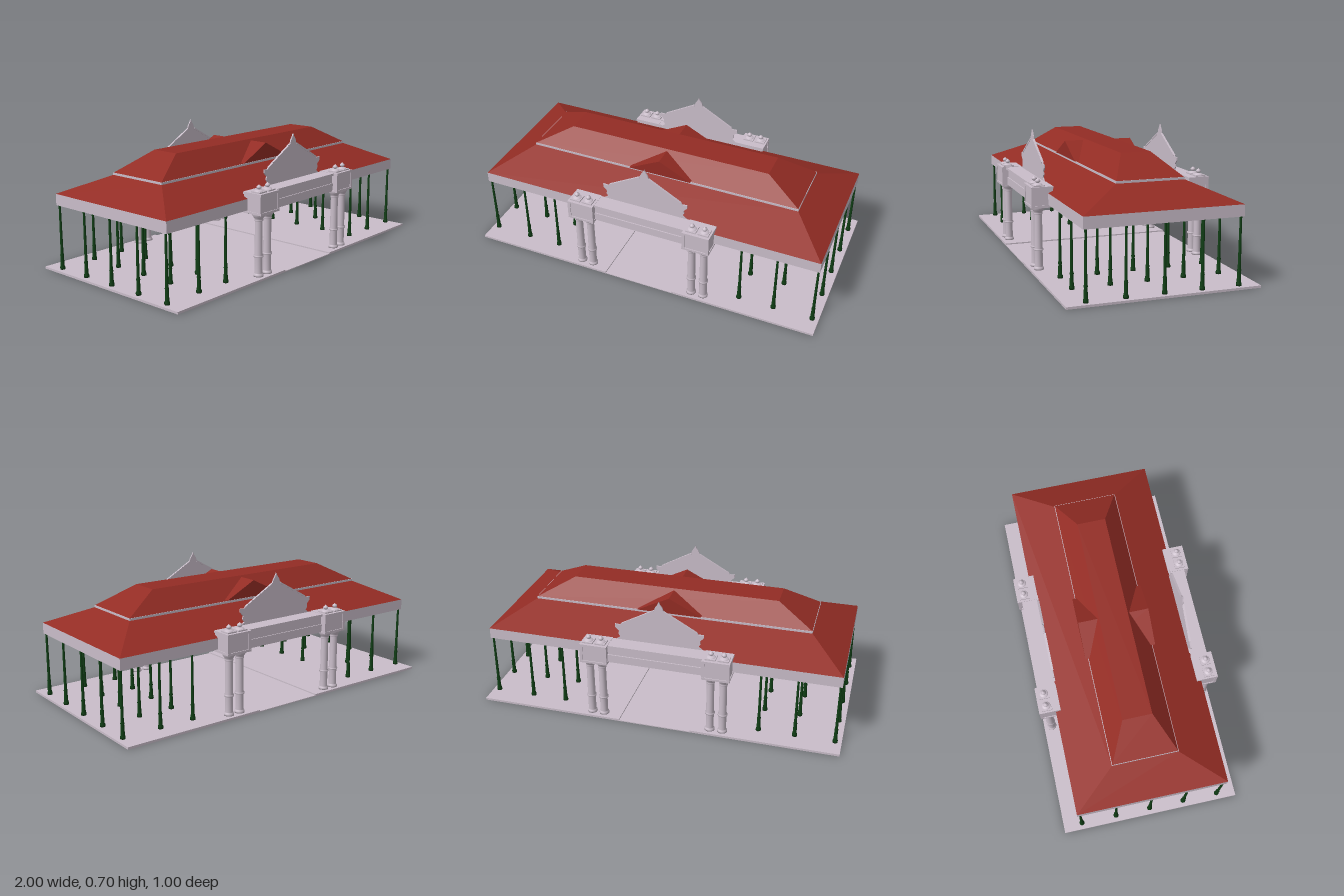
import * as THREE from 'three';

const paint = (color) => new THREE.MeshStandardMaterial({ color, roughness: 0.9 });

export function createModel() {
  const model = new THREE.Group();
  const stone = paint(0xc9bdc9), tile = paint(0x932c24), iron = paint(0x0f3d14);

  const add = (parent, name, geometry, material, x = 0, y = 0, z = 0) => {
    const mesh = new THREE.Mesh(geometry, material);
    mesh.name = name;
    mesh.position.set(x, y, z);
    parent.add(mesh);
    return mesh;
  };
  // Box given by its limits on each axis
  const block = (parent, name, material, x0, x1, y0, y1, z0, z1) =>
    add(parent, name, new THREE.BoxGeometry(x1 - x0, y1 - y0, z1 - z0), material,
      (x0 + x1) / 2, (y0 + y1) / 2, (z0 + z1) / 2);
  // Hipped roof: a box whose top is drawn in
  const hip = (name, y0, y1, bx, bz, tx, tz) => {
    const g = new THREE.BoxGeometry(2, y1 - y0, 2);
    const p = g.attributes.position;
    for (let i = 0; i < p.count; i++) {
      const top = p.getY(i) > 0;
      p.setX(i, p.getX(i) * (top ? tx : bx));
      p.setZ(i, p.getZ(i) * (top ? tz : bz));
    }
    g.computeVertexNormals();
    add(model, name, g, tile, 0, (y0 + y1) / 2, 0);
  };
  const lathe = (points, sides) =>
    new THREE.LatheGeometry(points.map(([r, y]) => new THREE.Vector2(r, y)), sides);

  // Floor slabs with a lower passage through the middle
  block(model, 'passageFloor', stone, -0.2, 0.2, 0, 0.005, -0.5, 0.5);
  for (const s of [-1, 1]) block(model, 'floorSlab', stone, s * 0.6 - 0.4, s * 0.6 + 0.4, 0, 0.012, -0.5, 0.5);

  // Two-tier roof
  block(model, 'eavesFascia', stone, -0.975, 0.975, 0.36, 0.42, -0.41, 0.41);
  hip('lowerRoof', 0.42, 0.522, 0.975, 0.41, 0.78, 0.18);
  block(model, 'upperFascia', stone, -0.78, 0.78, 0.52, 0.534, -0.18, 0.18);
  hip('upperRoof', 0.534, 0.638, 0.778, 0.177, 0.58, 0.08);

  // Dormer prism running front to back
  const gable = new THREE.Shape([[-0.18, 0.54], [0.18, 0.54], [0, 0.63]].map(([x, y]) => new THREE.Vector2(x, y)));
  add(model, 'dormer', new THREE.ExtrudeGeometry(gable, { depth: 0.39, bevelEnabled: false }), tile, 0, 0, -0.195);

  // Iron posts
  const postShape = lathe([[0, 0.012], [0.014, 0.012], [0.014, 0.024], [0.011, 0.03], [0.009, 0.085],
    [0.011, 0.09], [0.008, 0.1], [0.006, 0.34], [0.007, 0.362]], 10);
  for (const x of [-0.965, -0.75, -0.555, 0.555, 0.75, 0.965])
    for (const z of [-0.395, -0.197, 0, 0.197, 0.395]) add(model, 'ironPost', postShape, iron, x, 0, z);

  // Portal shapes
  const columnShape = lathe([[0, 0.012], [0.027, 0.012], [0.027, 0.02], [0.023, 0.027], [0.021, 0.03],
    [0.021, 0.114], [0.026, 0.116], [0.026, 0.124], [0.021, 0.126], [0.02, 0.305], [0.023, 0.308],
    [0.023, 0.314], [0.021, 0.317], [0.027, 0.327], [0.034, 0.338], [0.034, 0.347]], 20);
  const finialShape = lathe([[0.024, 0.462], [0.021, 0.467], [0.008, 0.47], [0.006, 0.473], [0.012, 0.476],
    [0.014, 0.482], [0.011, 0.488], [0.005, 0.492], [0, 0.498]], 16);
  const half = [[0.24, 0.45], [0.215, 0.468], [0.226, 0.485], [0.222, 0.502], [0.243, 0.524], [0.243, 0.542],
    [0.215, 0.54], [0.205, 0.552], [0.025, 0.652], [0.02, 0.668], [0.008, 0.685], [0, 0.702]];
  const outline = [...half, ...half.slice(0, -1).reverse().map(([x, y]) => [-x, y])];
  const pedimentShape = new THREE.ExtrudeGeometry(
    new THREE.Shape(outline.map(([x, y]) => new THREE.Vector2(x, y))), { depth: 0.007, bevelEnabled: false });

  const buildPortal = () => {
    const portal = new THREE.Group();
    portal.name = 'portal';
    for (const s of [-1, 1]) {
      const cx = s * 0.333;
      block(portal, 'pierBlock', stone, cx - 0.071, cx + 0.071, 0.345, 0.445, 0.385, 0.495);
      block(portal, 'pierCornice', stone, cx - 0.075, cx + 0.075, 0.443, 0.455, 0.382, 0.5);
      block(portal, 'pierFoot', stone, cx - 0.075, cx + 0.075, 0.345, 0.357, 0.382, 0.5);
      // Raised frame around each pier face
      for (const e of [-1, 1])
        block(portal, 'pierFrame', stone, cx + e * 0.067 - 0.008, cx + e * 0.067 + 0.008, 0.345, 0.445, 0.484, 0.499);
      for (const x of [s * 0.3, s * 0.369]) {
        add(portal, 'column', columnShape, stone, x, 0, 0.455);
        block(portal, 'finialPlinth', stone, x - 0.029, x + 0.029, 0.455, 0.462, 0.426, 0.484);
        add(portal, 'finial', finialShape, stone, x, 0, 0.455);
      }
    }
    // Stepped lintel between the piers
    block(portal, 'lintelLower', stone, -0.262, 0.262, 0.35, 0.395, 0.387, 0.468);
    block(portal, 'lintelUpper', stone, -0.262, 0.262, 0.395, 0.442, 0.387, 0.462);
    block(portal, 'lintelCornice', stone, -0.262, 0.262, 0.441, 0.453, 0.385, 0.475);
    // Pediment with trim along its slopes
    add(portal, 'pediment', pedimentShape, stone, 0, 0, 0.3795);
    for (const s of [-1, 1]) {
      const trim = add(portal, 'pedimentTrim', new THREE.BoxGeometry(0.206, 0.008, 0.012), stone, s * 0.115, 0.597, 0.383);
      trim.rotation.z = -s * Math.atan2(0.1, 0.18);
    }
    return portal;
  };
  const front = buildPortal(), back = buildPortal();
  back.rotation.y = Math.PI;
  model.add(front, back);
  return model;
}
